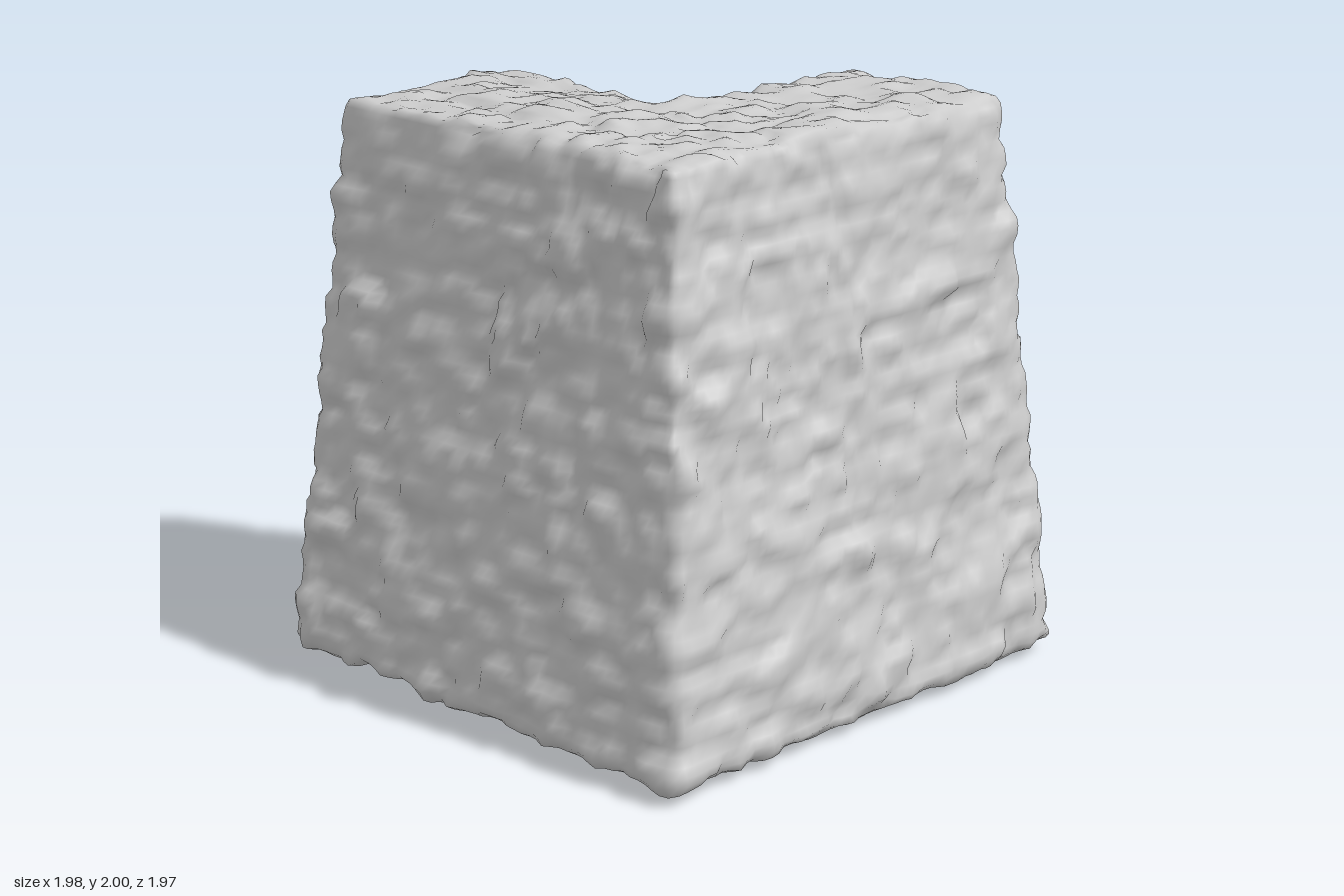
import * as THREE from 'three';
import { mergeVertices } from 'three/addons/utils/BufferGeometryUtils.js';

const END = -0.945, BOTTOM = 0.035, TOP = 1.96;
const LONG = 36, SHORT = 22, HIGH = 64; // grid divisions

// L-shaped plan: the outer and inner faces lean inwards with height
const outer = (t) => 0.962 - 0.305 * t;
const inner = (t) => -0.345 + 0.305 * t;

// Repeatable hash and smooth value noise
function hash(x, y, z) {
  const s = Math.sin(x * 127.1 + y * 311.7 + z * 74.7) * 43758.5453;
  return s - Math.floor(s);
}
function noise(x, y, z) {
  const c = [x, y, z].map(Math.floor);
  const [u, v, w] = [x - c[0], y - c[1], z - c[2]].map((f) => f * f * (3 - 2 * f));
  let sum = 0;
  for (let i = 0; i < 8; i++) {
    const a = i & 1, b = (i >> 1) & 1, d = i >> 2;
    sum += hash(c[0] + a, c[1] + b, c[2] + d) *
      (a ? u : 1 - u) * (b ? v : 1 - v) * (d ? w : 1 - w);
  }
  return sum;
}

// Stone relief: staggered courses with sunken joints and uneven faces
function relief(p, n) {
  const flat = Math.abs(n.y) > 0.7;
  const warp = 0.12 * (noise(p.x * 4, p.y * 4, p.z * 4) - 0.5);
  const row = (p.y + warp) / 0.13;
  const course = flat ? 40 : Math.floor(row);
  const size = flat ? 0.33 : 0.18 + 0.1 * hash(course, 2, 5);
  const shift = hash(course, 7, 1);
  const cz = (p.z - warp) / size + shift;
  const cx = (p.x + warp) / size + shift + (flat ? 0.4 * Math.floor(cz) : 0);
  const joint = (c, width, facing) => {
    const f = c - Math.floor(c);
    const d = Math.min(f, 1 - f) * width;
    return (1 - facing * facing) * Math.max(0, 1 - d / 0.05) ** 2;
  };
  const groove = Math.max(
    joint(row, 0.13, n.y),
    joint(cx, size, n.x),
    joint(cz, size, n.z)
  );
  const sideX = Math.abs(n.x) > Math.abs(n.z);
  const stone = flat ? hash(Math.floor(cx), 3, Math.floor(cz))
    : hash(sideX ? 9 : Math.floor(cx), course, sideX ? Math.floor(cz) : 4);
  const lumps = noise(p.x * 8, p.y * 10, p.z * 8) - 0.5;
  const rough = noise(p.x * 17 + 5, p.y * 19, p.z * 17) - 0.5;
  return 0.012 + 0.022 * (stone - 0.5) + 0.04 * lumps + 0.03 * rough
    - (flat ? 0.01 : 0.014) * groove;
}

function wallGeometry() {
  const positions = [], indices = [];
  // Grid over fn(u, v); the front face looks along du x dv
  const patch = (nu, nv, fn) => {
    const start = positions.length / 3;
    for (let j = 0; j <= nv; j++)
      for (let i = 0; i <= nu; i++) positions.push(...fn(i / nu, j / nv));
    for (let j = 0; j < nv; j++)
      for (let i = 0; i < nu; i++) {
        const a = start + j * (nu + 1) + i, d = a + nu + 1;
        indices.push(a, a + 1, d + 1, a, d + 1, d);
      }
  };
  const mix = THREE.MathUtils.lerp;

  // Side faces, walking around the plan
  const plan = (t) => {
    const o = outer(t), i = inner(t);
    return [[END, o], [i, o], [o, o], [o, i], [o, END], [i, END], [i, i], [END, i]];
  };
  const divisions = [SHORT, LONG, LONG, SHORT, LONG, SHORT, SHORT, LONG];
  divisions.forEach((n, k) => patch(n, HIGH, (u, t) => {
    const pts = plan(t), a = pts[k], b = pts[(k + 1) % 8];
    return [mix(a[0], b[0], u), mix(BOTTOM, TOP, t), mix(a[1], b[1], u)];
  }));

  // Top and underside, each made of the corner and two wings
  for (const t of [0, 1]) {
    const o = outer(t), i = inner(t), y = t ? TOP : BOTTOM;
    const rects = [
      [END, i, i, o, SHORT, LONG],
      [i, o, i, o, LONG, LONG],
      [i, o, END, i, LONG, SHORT],
    ];
    for (const [x0, x1, z0, z1, nx, nz] of rects)
      patch(nx, nz, (u, v) => [
        mix(x0, x1, u), y, t ? mix(z1, z0, v) : mix(z0, z1, v),
      ]);
  }

  let geo = new THREE.BufferGeometry();
  geo.setAttribute('position', new THREE.Float32BufferAttribute(positions, 3));
  geo.setIndex(indices);
  geo = mergeVertices(geo, 1e-4);
  const pos = geo.attributes.position, index = geo.index.array;

  // Round the edges by averaging each vertex with its neighbours
  for (let pass = 0; pass < 6; pass++) {
    const sum = new Float32Array(pos.count * 3), count = new Float32Array(pos.count);
    for (let f = 0; f < index.length; f += 3)
      for (let k = 0; k < 3; k++) {
        const a = index[f + k];
        for (const b of [index[f + (k + 1) % 3], index[f + (k + 2) % 3]]) {
          for (let c = 0; c < 3; c++) sum[a * 3 + c] += pos.array[b * 3 + c];
          count[a]++;
        }
      }
    for (let i = 0; i < sum.length; i++)
      pos.array[i] = mix(pos.array[i], sum[i] / count[Math.floor(i / 3)], 0.6);
  }

  // Push the stones out along the surface normals
  geo.computeVertexNormals();
  const p = new THREE.Vector3(), n = new THREE.Vector3();
  for (let i = 0; i < pos.count; i++) {
    p.fromBufferAttribute(pos, i);
    n.fromBufferAttribute(geo.attributes.normal, i);
    p.addScaledVector(n, relief(p, n));
    pos.setXYZ(i, p.x, Math.max(p.y, 0), p.z);
  }
  geo.computeVertexNormals();
  return geo;
}

export function createModel() {
  const model = new THREE.Group();
  model.name = 'stoneWallCorner';
  const wall = new THREE.Mesh(
    wallGeometry(),
    new THREE.MeshStandardMaterial({ color: 0xcccccc })
  );
  wall.name = 'cornerMasonry';
  model.add(wall);
  return model;
}
